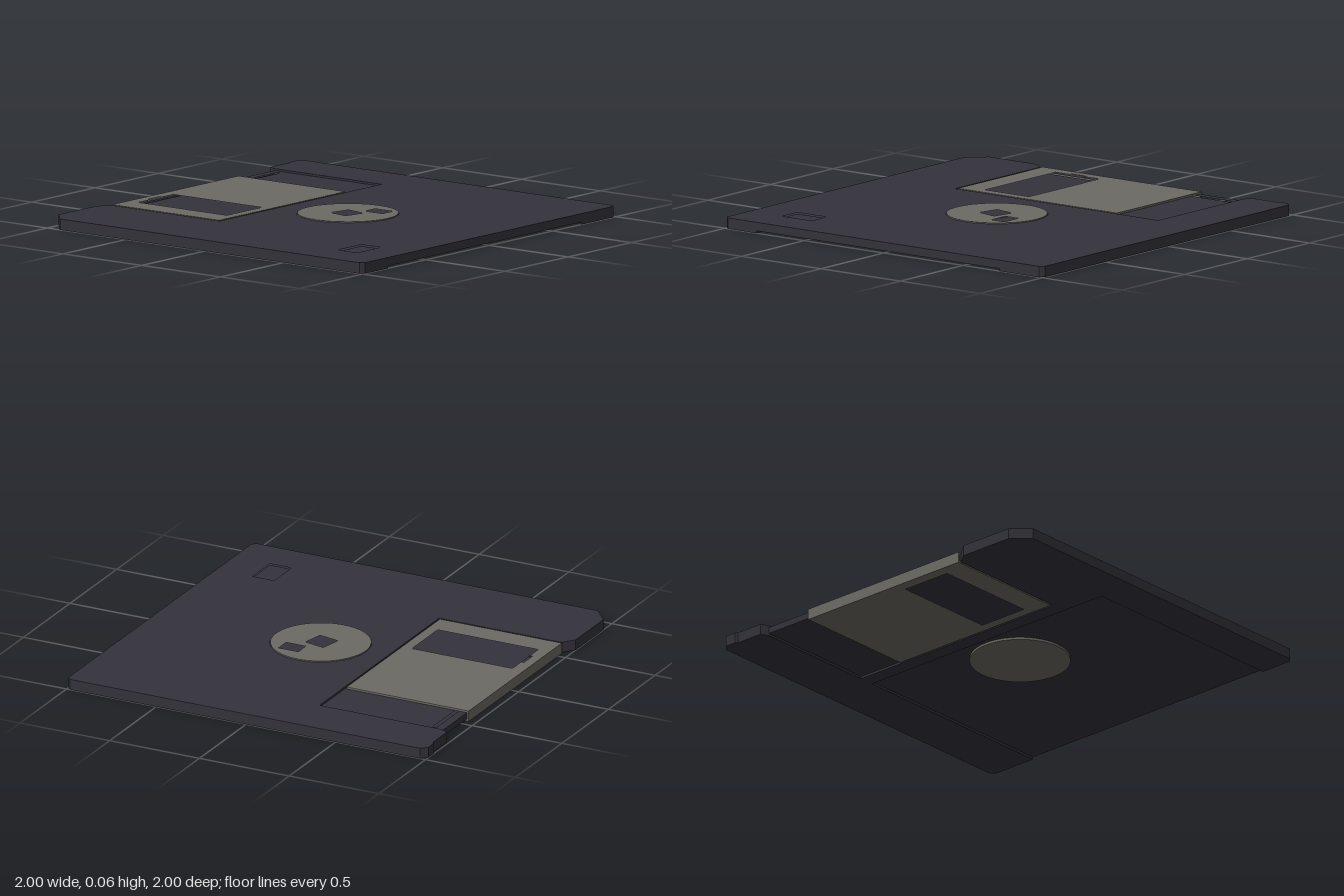
import * as THREE from 'three';

const shellMaterial = new THREE.MeshStandardMaterial({ color: 0x34323a, flatShading: true });
const metalMaterial = new THREE.MeshStandardMaterial({ color: 0x6c6a63, flatShading: true });

// Plan outlines are given as [x, z] pairs and extruded upward from y0 to y1.
const toPoints = (pairs) => pairs.map(([x, z]) => new THREE.Vector2(x, -z));
const rect = (x0, x1, z0, z1) => [[x0, z0], [x1, z0], [x1, z1], [x0, z1]];

function circle(cx, cz, r, sides = 48) {
  return Array.from({ length: sides }, (_, i) => {
    const a = (i / sides) * Math.PI * 2;
    return [cx + r * Math.cos(a), cz + r * Math.sin(a)];
  });
}

function slab(name, outline, y0, y1, material, holes = []) {
  const shape = new THREE.Shape(toPoints(outline));
  for (const hole of holes) shape.holes.push(new THREE.Path(toPoints(hole)));
  const geometry = new THREE.ExtrudeGeometry(shape, { depth: y1 - y0, bevelEnabled: false });
  geometry.rotateX(-Math.PI / 2).translate(0, y0, 0);
  const mesh = new THREE.Mesh(geometry, material);
  mesh.name = name;
  return mesh;
}

export function createModel() {
  const model = new THREE.Group();
  model.name = 'floppyDisk';

  // Shared levels: bottom recess, pocket floor, top recess, shell top
  const yLow = 0.012, yPocket = 0.028, yHigh = 0.045, yTop = 0.055;

  // Shell outline pieces, with clipped corners and a notched back edge
  const backRight = [[0.73, -0.95], [0.75, -0.99], [0.9, -0.99], [0.91, -1], [0.97, -1], [1, -0.97]];
  const frontRight = [[1, 0.98], [0.98, 1]];
  const frontLeft = [[-0.98, 1], [-1, 0.98]];
  const backLeft = [[-1, -0.92], [-0.91, -1], [-0.61, -1], [-0.55, -0.95]];
  const around = [...backRight, ...frontRight, ...frontLeft, ...backLeft];
  const shutterRecess = [[-0.55, -0.27], [0.73, -0.27]];
  const labelRecess = [[0.73, 1], [0.73, -0.19], [-0.8, -0.19], [-0.8, 1]];

  const protectPocket = rect(-0.795, -0.61, 0.68, 0.8);
  const springSlot = rect(-0.5, 0.7, -0.905, -0.885);
  const hubX = 0.005, hubZ = 0.1;

  // Shell, layered so that each recess gets its own floor
  const shell = new THREE.Group();
  shell.name = 'shell';
  shell.add(
    slab('shellBottom', [...backRight, ...frontRight, ...labelRecess, ...frontLeft, ...backLeft, ...shutterRecess],
      0, yLow, shellMaterial),
    slab('shellCore', around, yLow, yPocket, shellMaterial),
    slab('shellMiddle', around, yPocket, yHigh, shellMaterial, [protectPocket, springSlot]),
    slab('shellTop', [...around, ...shutterRecess], yHigh, yTop, shellMaterial,
      [protectPocket, circle(hubX, hubZ, 0.252)])
  );
  model.add(shell);

  // Sliding shutter: two sheets with a window, joined by a band along the back
  const shutter = new THREE.Group();
  shutter.name = 'shutter';
  const sheet = rect(-0.54, 0.46, -0.96, -0.28);
  const lowerWindow = rect(-0.41, -0.135, -0.9, -0.335);
  const upperWindow = [[-0.41, -0.895], [-0.32, -0.895], [-0.32, -0.91], [-0.23, -0.91], [-0.23, -0.895],
    [-0.135, -0.895], [-0.135, -0.335], [-0.41, -0.335]];
  shutter.add(
    slab('shutterTop', sheet, yHigh + 0.001, yTop + 0.001, metalMaterial, [upperWindow]),
    slab('shutterBottom', sheet, 0, yLow - 0.001, metalMaterial, [lowerWindow]),
    slab('shutterBack', rect(-0.54, 0.46, -0.96, -0.951), yLow - 0.001, yHigh + 0.001, metalMaterial)
  );
  model.add(shutter);

  // Hub: upper disc with a tilted spindle hole and a drive hole, plain disc below
  const hub = new THREE.Group();
  hub.name = 'hub';
  const tilt = THREE.MathUtils.degToRad(12);
  const spindleHole = circle(-0.003, hubZ, 0.08, 4).map(([x, z]) => {
    const p = new THREE.Vector2(x, z).rotateAround(new THREE.Vector2(-0.003, hubZ), Math.PI / 4 + tilt);
    return [p.x, p.y];
  });
  hub.add(
    slab('hubTop', circle(hubX, hubZ, 0.25), yHigh, 0.06, metalMaterial, [spindleHole, rect(0.09, 0.17, 0.14, 0.25)]),
    slab('hubBottom', circle(hubX, hubZ, 0.25), 0, yLow, metalMaterial)
  );
  model.add(hub);

  return model;
}
